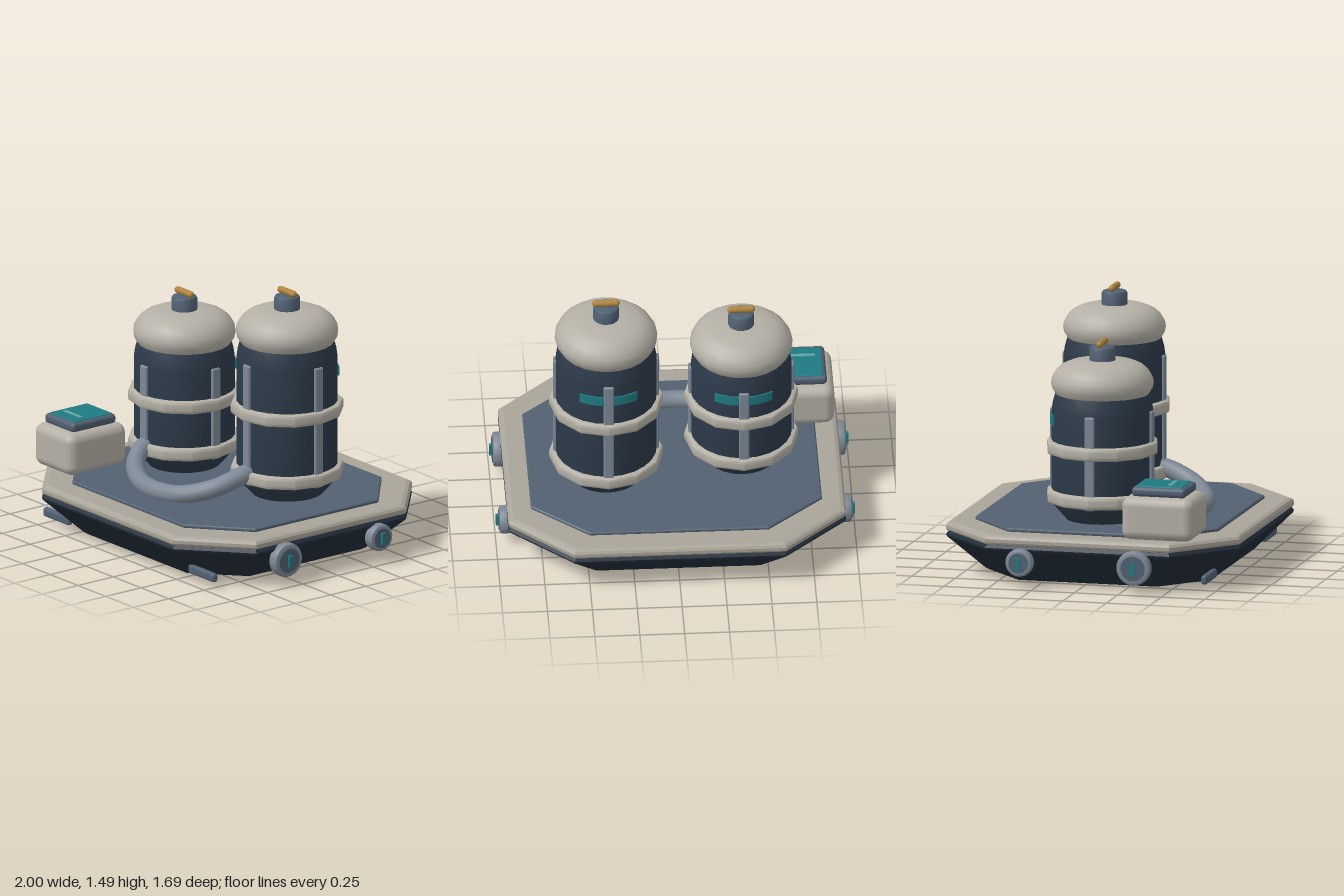
import * as THREE from 'three';
import { toCreasedNormals } from 'three/addons/utils/BufferGeometryUtils.js';
import { RoundedBoxGeometry } from 'three/addons/geometries/RoundedBoxGeometry.js';

const mat = (color, extra = {}) => new THREE.MeshStandardMaterial({ color, ...extra });
const M = {
  hull: mat(0x222d39, { flatShading: true }),
  rim: mat(0xaaa59a, { flatShading: true }),
  deck: mat(0x536171, { flatShading: true }),
  navy: mat(0x2c3a49),
  cream: mat(0xb4b0a6),
  slate: mat(0x506072),
  grey: mat(0x7d8895),
  teal: mat(0x1f7a82),
  paleTeal: mat(0x62a5aa),
  gold: mat(0xae843c),
};

function add(parent, name, geometry, material, x = 0, y = 0, z = 0) {
  const mesh = new THREE.Mesh(geometry, material);
  mesh.name = name;
  mesh.position.set(x, y, z);
  parent.add(mesh);
  return mesh;
}

const rbox = (w, h, d, r) => new RoundedBoxGeometry(w, h, d, 3, r);

// Lathe with smooth sides and sharp profile corners
function lathe(points, segments) {
  const profile = points.map(([r, y]) => new THREE.Vector2(r, y));
  return toCreasedNormals(new THREE.LatheGeometry(profile, segments), 0.6);
}

// Solid through octagonal rings; layers run upwards as [scale, y]
function octagonLoft([hx, hz, cx, cz], layers) {
  const ring = [[hx, cz], [hx, -cz], [cx, -hz], [-cx, -hz], [-hx, -cz], [-hx, cz], [-cx, hz], [cx, hz]];
  const pos = [];
  const v = (k, i) => [ring[i % 8][0] * layers[k][0], layers[k][1], ring[i % 8][1] * layers[k][0]];
  const top = layers.length - 1;
  for (let i = 0; i < 8; i++) {
    for (let k = 0; k < top; k++) {
      const a = v(k, i), b = v(k, i + 1), c = v(k + 1, i + 1), d = v(k + 1, i);
      pos.push(...a, ...b, ...c, ...a, ...c, ...d);
    }
    pos.push(0, layers[0][1], 0, ...v(0, i + 1), ...v(0, i));
    pos.push(0, layers[top][1], 0, ...v(top, i), ...v(top, i + 1));
  }
  const g = new THREE.BufferGeometry();
  g.setAttribute('position', new THREE.Float32BufferAttribute(pos, 3));
  g.computeVertexNormals();
  return g;
}

// Curved strip that hugs the front of a tank
function arcPlate(inner, outer, height, halfAngle) {
  const shape = new THREE.Shape();
  shape.absarc(0, 0, outer, -Math.PI / 2 - halfAngle, -Math.PI / 2 + halfAngle, false);
  shape.absarc(0, 0, inner, -Math.PI / 2 + halfAngle, -Math.PI / 2 - halfAngle, true);
  const g = new THREE.ExtrudeGeometry(shape, { depth: height, bevelEnabled: false, curveSegments: 10 });
  return g.rotateX(-Math.PI / 2).rotateY(Math.PI);
}

// shoulder = height where the cap starts
function makeTank(name, x, z, shoulder, upperBand, plateY) {
  const tank = new THREE.Group();
  tank.name = name;
  tank.position.set(x, 0, z);

  add(tank, 'tankBody', lathe([[0, 0.29], [0.18, 0.29], [0.2, 0.31], [0.28, 0.4], [0.283, 0.42],
    [0.283, shoulder - 0.1], [0.276, shoulder - 0.05], [0.262, shoulder], [0, shoulder + 0.01]], 24), M.navy);

  const cap = [[0, 0], [0.262, 0], [0.28, 0.03], [0.286, 0.06], [0.281, 0.09], [0.26, 0.127],
    [0.225, 0.157], [0.18, 0.176], [0.1, 0.185], [0, 0.187]];
  add(tank, 'tankCap', lathe(cap, 24), M.cream, 0, shoulder);

  // Clamping bands
  const band = [[0.265, -0.037], [0.3, -0.037], [0.312, -0.03], [0.317, -0.018], [0.317, 0.018],
    [0.312, 0.03], [0.3, 0.037], [0.265, 0.037]];
  for (const y of [0.445, upperBand]) add(tank, 'tankBand', lathe(band, 12), M.cream, 0, y);

  // Four upright ribs
  const ribTop = shoulder - 0.09, ribLow = 0.4;
  for (let i = 0; i < 4; i++) {
    const a = i * Math.PI / 2;
    const rib = add(tank, 'tankRib', rbox(0.058, ribTop - ribLow, 0.035, 0.01), M.grey,
      0.277 * Math.sin(a), (ribTop + ribLow) / 2, 0.277 * Math.cos(a));
    rib.rotation.y = a;
  }

  add(tank, 'tankGauge', arcPlate(0.27, 0.291, 0.055, 0.59), M.teal, 0, plateY - 0.0275);

  // Neck and bar handle
  add(tank, 'tankNeck', lathe([[0.072, 0], [0.072, 0.065], [0.067, 0.076], [0.058, 0.08], [0, 0.08]], 20),
    M.slate, 0, shoulder + 0.184);
  add(tank, 'tankHandle', new THREE.CapsuleGeometry(0.019, 0.117, 4, 12), M.gold, 0, shoulder + 0.283)
    .rotation.z = Math.PI / 2;
  return tank;
}

// Round side unit, facing outwards along x
function makeWheel(side, z, r) {
  const wheel = new THREE.Group();
  wheel.name = 'sideWheel';
  wheel.position.set(side * 0.917, 0.147, z);
  wheel.rotation.z = -side * Math.PI / 2;
  const inner = r * 0.72;
  add(wheel, 'wheelRing', lathe([[0, 0], [r - 0.012, 0], [r - 0.003, 0.004], [r, 0.014], [r, 0.05], [r - 0.004, 0.06],
    [r - 0.012, 0.064], [inner, 0.064], [inner, 0.055], [0, 0.055]], 28), M.grey);
  add(wheel, 'wheelHub', new THREE.CylinderGeometry(inner, inner, 0.02, 28), M.slate, 0, 0.058);
  add(wheel, 'wheelLight', new THREE.BoxGeometry(0.065, 0.03, 0.025), M.teal, 0, 0.068);
  return wheel;
}

export function createModel() {
  const model = new THREE.Group();
  model.name = 'tankPlatform';

  // Platform
  const outline = [0.94, 0.845, 0.59, 0.53];
  add(model, 'hull', octagonLoft(outline, [[0.75, 0], [0.772, 0.012], [0.995, 0.205], [1, 0.218], [0.985, 0.236]]), M.hull);
  add(model, 'rim', octagonLoft(outline, [[0.975, 0.234], [0.995, 0.24], [1, 0.25], [1, 0.268], [0.99, 0.282], [0.97, 0.29]]), M.rim);
  add(model, 'deck', octagonLoft([0.81, 0.7, 0.5, 0.435], [[0.99, 0.286], [1, 0.294], [1, 0.304], [0.992, 0.31]]), M.deck);

  // Tanks
  model.add(makeTank('shortTank', -0.385, 0, 1.02, 0.72, 0.878));
  model.add(makeTank('tallTank', 0.375, -0.13, 1.19, 0.81, 1.004));

  // Hose joining the two tanks
  const path = new THREE.CatmullRomCurve3([
    [-0.385, 0.475, 0.24], [-0.38, 0.445, 0.31], [-0.33, 0.39, 0.39], [-0.2, 0.345, 0.46], [-0.03, 0.335, 0.485],
    [0.16, 0.35, 0.45], [0.31, 0.4, 0.34], [0.365, 0.455, 0.2], [0.37, 0.48, 0.1],
  ].map((p) => new THREE.Vector3(...p)));
  add(model, 'hose', new THREE.TubeGeometry(path, 48, 0.052, 14), M.grey);

  // Control box
  const box = new THREE.Group();
  box.name = 'controlBox';
  box.position.set(-0.748, 0, 0.45);
  add(box, 'boxBody', rbox(0.345, 0.245, 0.415, 0.055), M.cream, 0, 0.417);
  add(box, 'boxLid', rbox(0.265, 0.055, 0.31, 0.022), M.slate, 0, 0.564);
  add(box, 'boxScreen', rbox(0.225, 0.012, 0.265, 0.005), M.teal, 0, 0.59, -0.005);
  add(box, 'boxStrip', new THREE.BoxGeometry(0.15, 0.012, 0.02), M.paleTeal, 0, 0.595, 0.052);
  model.add(box);

  // Side wheels and front skids
  for (const side of [-1, 1]) {
    model.add(makeWheel(side, 0.33, 0.097), makeWheel(side, -0.327, 0.078));
    add(model, 'frontSkid', rbox(0.235, 0.052, 0.036, 0.015), M.slate, side * 0.653, 0.062, 0.684);
  }
  return model;
}
